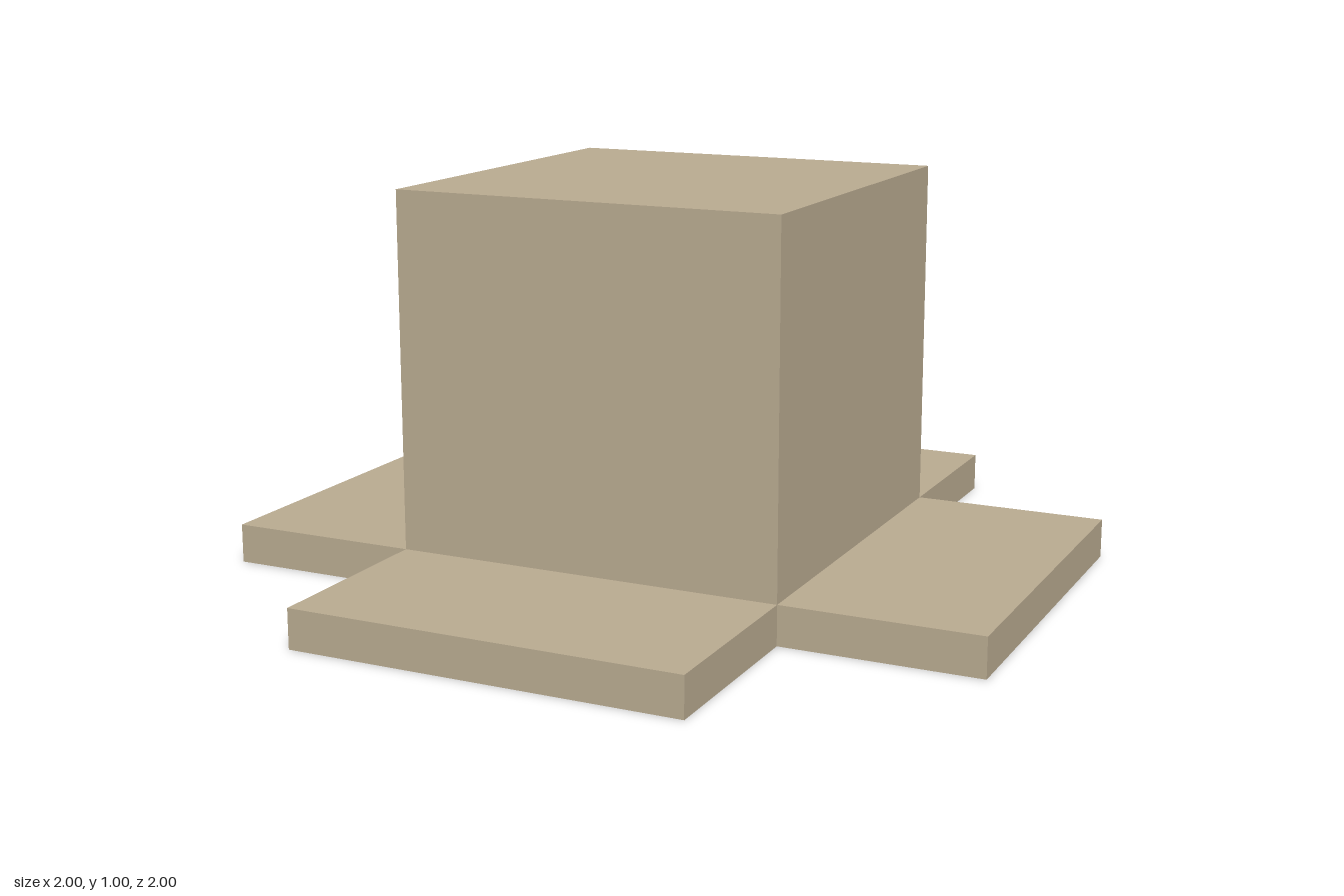
import * as THREE from 'three';

const HALF = 0.5;   // half width of the block and of each arm
const REACH = 1;    // distance from the centre to the end of an arm
const THICK = 0.1;  // thickness of the base
const HEIGHT = 1;   // overall height

export function createModel() {
  const model = new THREE.Group();
  model.name = 'blockOnCrossBase';
  const material = new THREE.MeshStandardMaterial({ color: 0xb8aa90 });

  // Cross-shaped base plate: the same three corners turned through four quarters
  const corners = [];
  for (let i = 0; i < 4; i++) {
    for (const [x, y] of [[REACH, -HALF], [REACH, HALF], [HALF, HALF]]) {
      corners.push(new THREE.Vector2(x, y).rotateAround(new THREE.Vector2(), i * Math.PI / 2));
    }
  }
  const baseGeometry = new THREE.ExtrudeGeometry(new THREE.Shape(corners), { depth: THICK, bevelEnabled: false });
  baseGeometry.rotateX(-Math.PI / 2);
  const base = new THREE.Mesh(baseGeometry, material);
  base.name = 'crossBase';

  // Central block standing on the base
  const block = new THREE.Mesh(new THREE.BoxGeometry(2 * HALF, HEIGHT - THICK, 2 * HALF), material);
  block.name = 'centralBlock';
  block.position.y = (HEIGHT + THICK) / 2;

  model.add(base, block);
  return model;
}
